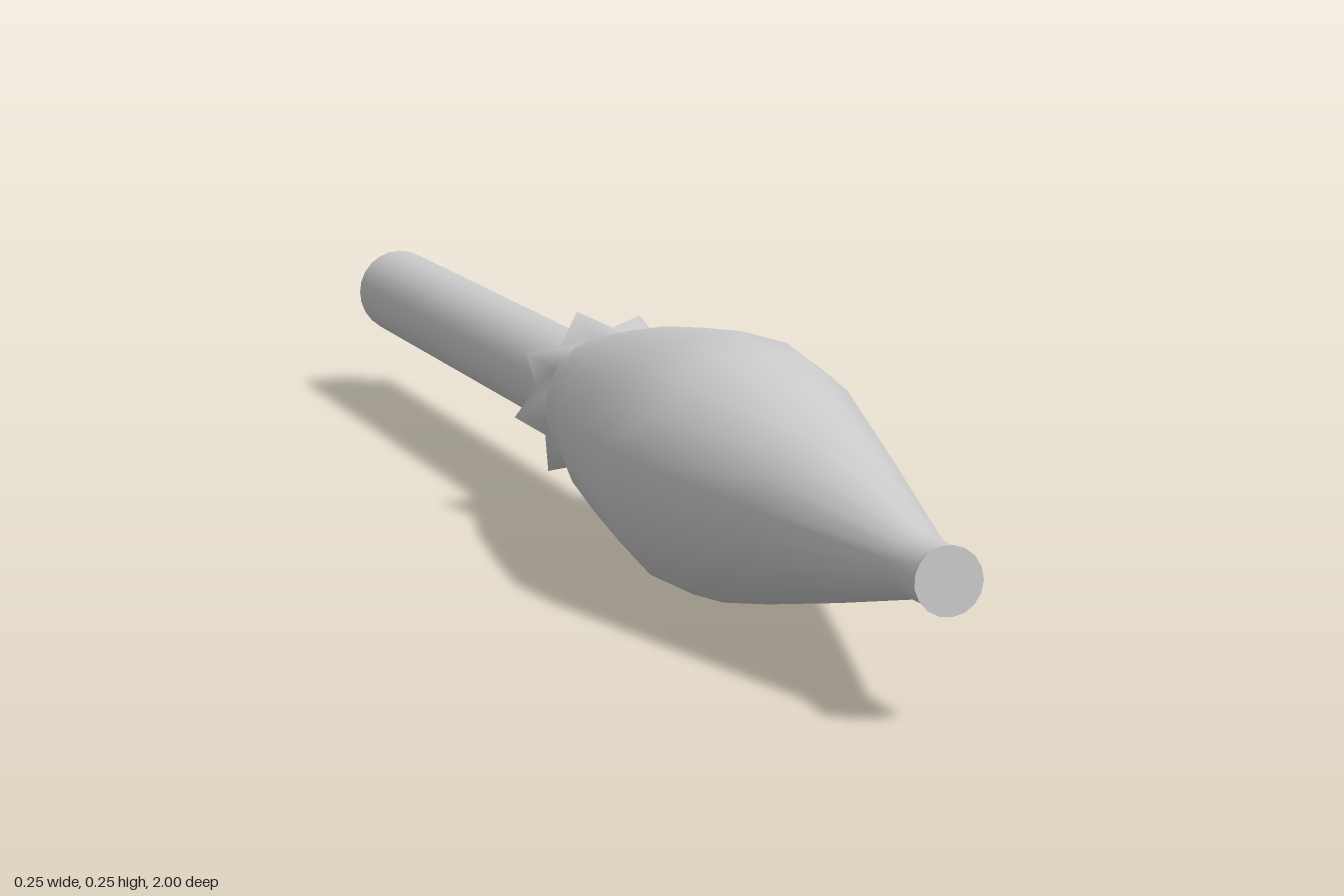
import * as THREE from 'three';
import { mergeVertices } from 'three/addons/utils/BufferGeometryUtils.js';

const SIDES = 17;
const material = new THREE.MeshStandardMaterial({ color: 0xcccccc, side: THREE.DoubleSide });

// Turns a [z, radius] profile, listed from back to front, around the z axis.
function turn(profile, sides = SIDES) {
  const points = profile.map(([z, r]) => new THREE.Vector2(r, z));
  return new THREE.LatheGeometry(points, sides, Math.PI / 2).rotateX(Math.PI / 2);
}

// Pushes every other corner outwards at the rear, fading to round at z = 0.
function scallop(geometry) {
  const p = geometry.attributes.position;
  for (let i = 0; i < p.count; i++) {
    const x = p.getX(i), y = p.getY(i), r = Math.hypot(x, y);
    if (r < 0.055) continue;
    const corner = Math.round((Math.atan2(y, x) / (Math.PI * 2) + 1) * SIDES) % SIDES;
    const amount = Math.min(1, -p.getZ(i) / 0.06);
    const scale = 1 + amount * (corner % 2 ? 0.19 : -0.11);
    p.setXY(i, x * scale, y * scale);
  }
  geometry.deleteAttribute('uv');
  geometry.deleteAttribute('normal');
  const merged = mergeVertices(geometry);
  merged.computeVertexNormals();
  return merged;
}

export function createModel() {
  const model = new THREE.Group();
  const add = (name, geometry) => {
    const mesh = new THREE.Mesh(geometry, material);
    mesh.name = name;
    model.add(mesh);
  };

  // Swollen body tapering to a narrow nose
  add('body', turn([
    [0, 0.076], [0.07, 0.087], [0.14, 0.1], [0.27, 0.115], [0.39, 0.127], [0.48, 0.118],
    [0.7, 0.075], [0.93, 0.028], [0.985, 0.027], [1, 0.03],
  ]));
  add('noseCap', turn([[1, 0.03], [1, 0]]));

  // Scalloped collar with a shallow dished back
  add('collar', scallop(turn([[-0.062, 0.079], [0, 0.076]])));
  add('collarBack', scallop(turn([[-0.052, 0.045], [-0.062, 0.079]])));

  // Hollow-ended rear tube
  add('tube', turn([[-1, 0.05], [0, 0.05]], 24));
  add('tubeRim', turn([[-1, 0.038], [-1, 0.05]], 24));
  add('tubeBore', turn([[-0.98, 0.038], [-1, 0.038]], 24));
  add('tubeFloor', turn([[-0.98, 0], [-0.98, 0.038]], 24));

  model.position.set(-0.004, 0.1275, 0);
  model.rotation.y = 0.0055;
  const root = new THREE.Group();
  root.add(model);
  return root;
}
